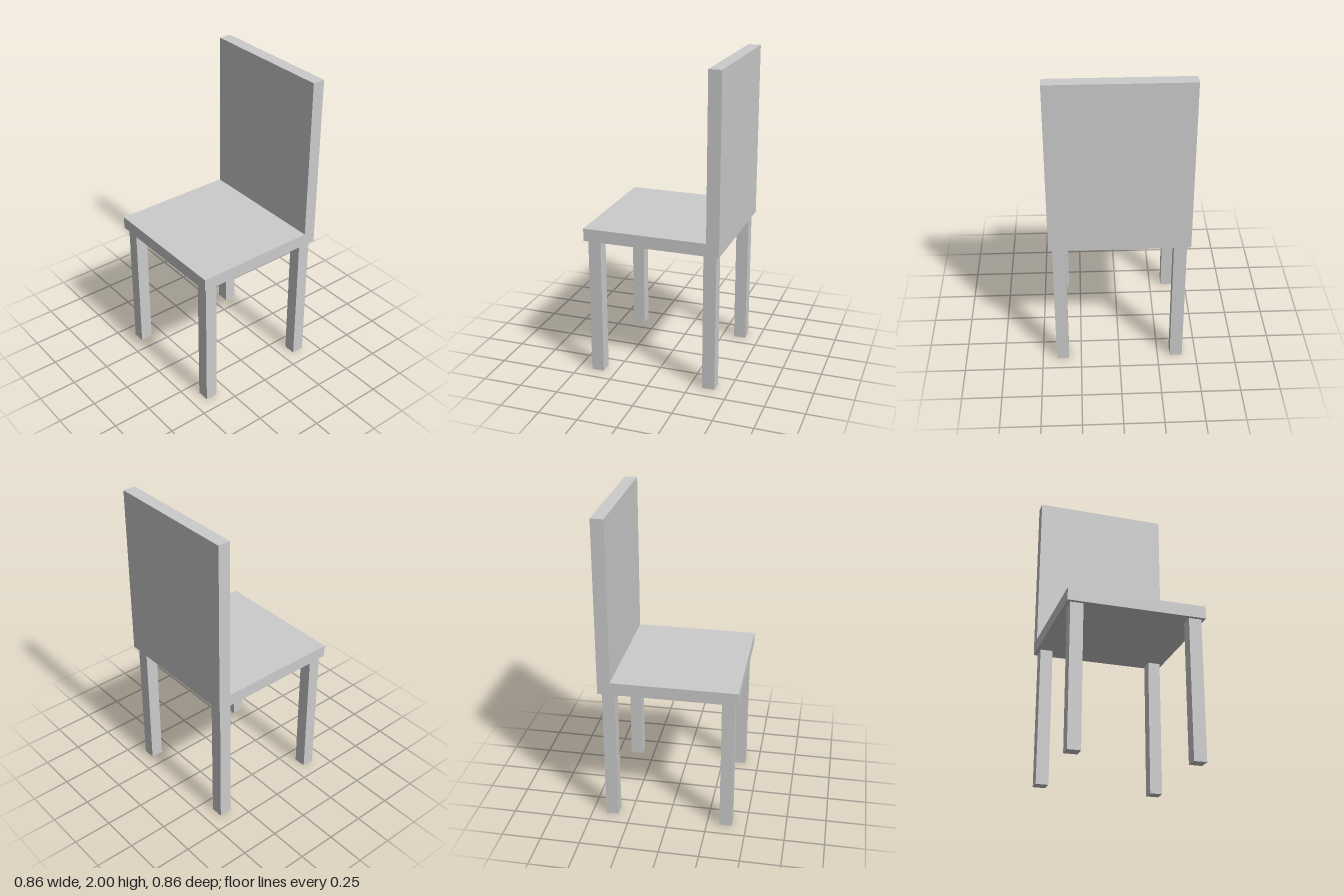
import * as THREE from 'three';

const HALF = 0.432;       // half width and half depth of the seat
const THICK = 0.08;       // seat, backrest and leg thickness
const SEAT_BOTTOM = 0.89;
const SEAT_TOP = 0.97;
const HEIGHT = 2;
const LEG_OFFSET = 0.37;

export function createModel() {
  const chair = new THREE.Group();
  chair.name = 'chair';
  const material = new THREE.MeshStandardMaterial({ color: 0xcccccc, flatShading: true });

  // Seat and backrest: one L-shaped side profile (z, y) extruded across the width
  const profile = new THREE.Shape([
    [-HALF, SEAT_BOTTOM], [HALF, SEAT_BOTTOM], [HALF, SEAT_TOP],
    [-HALF + THICK, SEAT_TOP], [-HALF + THICK, HEIGHT], [-HALF, HEIGHT],
  ].map(([z, y]) => new THREE.Vector2(z, y)));
  const bodyGeometry = new THREE.ExtrudeGeometry(profile, { depth: 2 * HALF, bevelEnabled: false });
  bodyGeometry.translate(0, 0, -HALF).rotateY(-Math.PI / 2);
  const body = new THREE.Mesh(bodyGeometry, material);
  body.name = 'seatAndBackrest';
  chair.add(body);

  // Four square legs, set in slightly from the seat corners
  const legGeometry = new THREE.BoxGeometry(THICK, SEAT_BOTTOM, THICK);
  for (const [zName, sz] of [['front', 1], ['back', -1]]) {
    for (const [xName, sx] of [['Left', 1], ['Right', -1]]) {
      const leg = new THREE.Mesh(legGeometry, material);
      leg.name = `${zName}${xName}Leg`;
      leg.position.set(sx * LEG_OFFSET, SEAT_BOTTOM / 2, sz * LEG_OFFSET);
      chair.add(leg);
    }
  }
  return chair;
}
